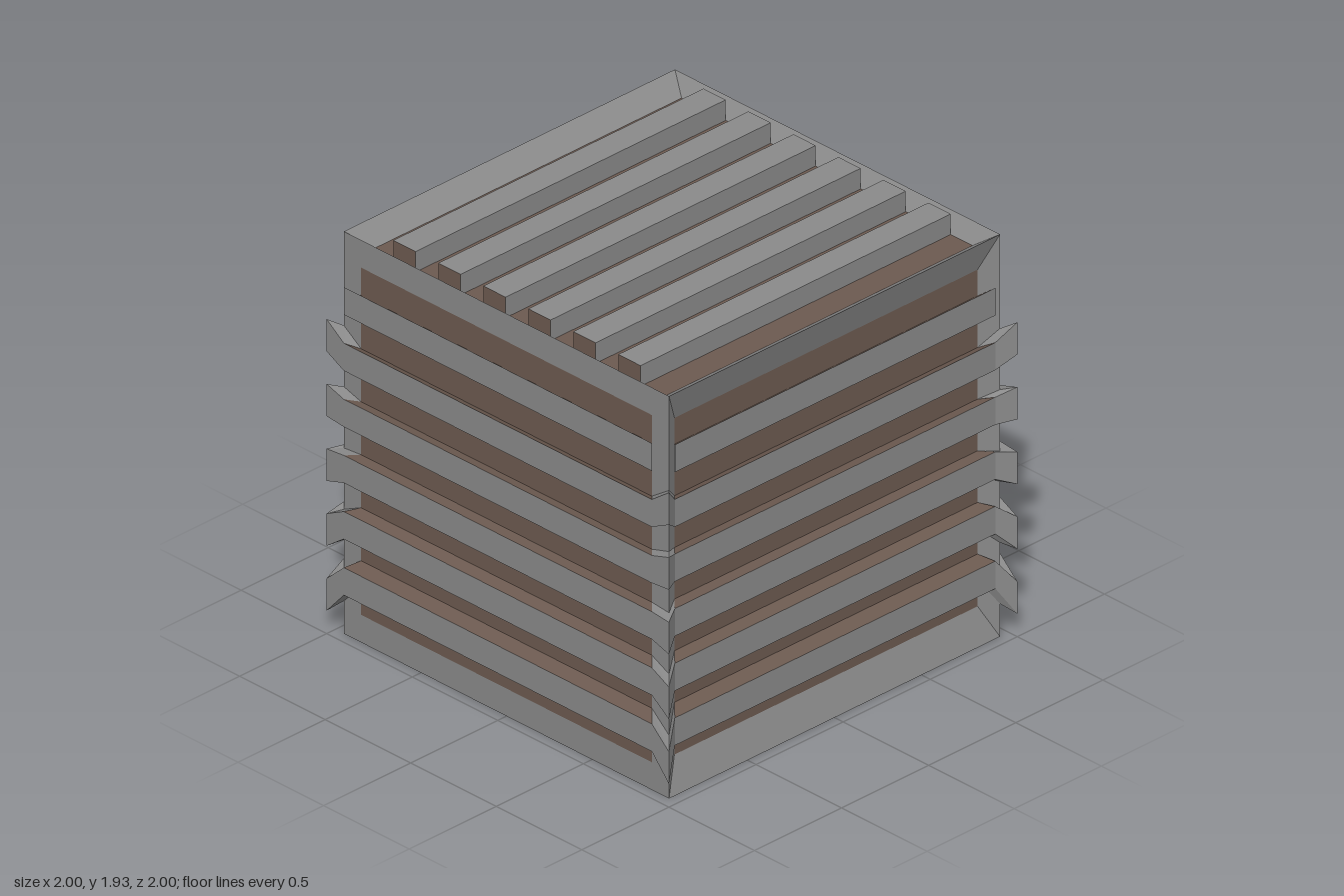
import * as THREE from 'three';

const grey = new THREE.MeshStandardMaterial({ color: 0x8a8a8a, flatShading: true });
const brown = new THREE.MeshStandardMaterial({ color: 0x6c5a50, flatShading: true });

// Flat-shaded mesh from a list of four-cornered faces
function quads(name, faces, material) {
  const pos = [];
  for (const [a, b, c, d] of faces) pos.push(...a, ...b, ...c, ...a, ...c, ...d);
  const g = new THREE.BufferGeometry();
  g.setAttribute('position', new THREE.Float32BufferAttribute(pos, 3));
  g.computeVertexNormals();
  const mesh = new THREE.Mesh(g, material);
  mesh.name = name;
  return mesh;
}

// Counter-clockwise rectangle facing +z
const rect = (hx, y0, y1, z) => [[-hx, y0, z], [hx, y0, z], [hx, y1, z], [-hx, y1, z]];

// Faces joining one ring of four corners to the next: bottom, right, top, left for rectangles
const join = (a, b) => a.map((p, k) => [p, a[(k + 1) % 4], b[(k + 1) % 4], b[k]]);

// Frame and sunken panel of one side of the crate
function crateSide(name, insetX, insetY, depth, panelMaterial) {
  const side = new THREE.Group();
  side.name = name;
  const outer = rect(0.95, -0.95, 0.95, 0.95);
  const inner = rect(0.95 - insetX, -0.95 + insetY, 0.95 - insetY, 0.95 - depth);
  side.add(quads('frame', join(outer, inner), grey));
  side.add(quads('panel', [inner], panelMaterial));
  return side;
}

// Slat narrowing toward the panel by the factor taper, with its own materials for long edges and ends
function slat(y, halfHeight, hx, zBack, zFront, taper, edgeMaterial, endMaterial) {
  const g = new THREE.Group();
  g.name = 'slat';
  const front = rect(hx, y - halfHeight, y + halfHeight, zFront);
  const back = rect(hx * taper, (y - halfHeight) * taper, (y + halfHeight) * taper, zBack);
  const [bottom, right, top, left] = join(back, front);
  g.add(quads('slatFace', [front], grey));
  g.add(quads('slatEdges', [bottom, top], edgeMaterial));
  g.add(quads('slatEnds', [right, left], endMaterial));
  return g;
}

const ROWS = [2.5, 1.5, 0.5, -0.5, -1.5, -2.5];
const HALF = 0.065;
const TAPER = 0.945;

// Cross-section of a corner bracket: outer top, outer bottom, inner bottom, inner top
function section(outer, inner, y, h, taper) {
  return [
    [outer[0], y + h, outer[1]], [outer[0], y - h, outer[1]],
    [inner[0], (y - h) * taper, inner[1]], [inner[0], (y + h) * taper, inner[1]],
  ];
}

// Bent bracket joining the slats of two sides around a corner
function cornerBracket(row, sx, sz) {
  const s = [
    section([0.92, 0.953], [0.87, 0.9], row * 0.258, HALF, TAPER),
    section([1, 1], [0.945, 0.945], row * 0.306, 0.076, 0.94),
    section([1, 0.9], [0.95, 0.85], row * 0.265, HALF, TAPER),
  ].map(ring => ring.map(([x, y, z]) => [x * sx, y, z * sz]));
  if (sx * sz < 0) s.reverse();
  return quads('cornerBracket', [...join(s[0], s[1]), ...join(s[1], s[2])], grey);
}

export function createModel() {
  const model = new THREE.Group();
  model.name = 'slattedCrate';
  const crate = new THREE.Group();
  crate.name = 'crate';
  crate.position.y = 0.95;
  model.add(crate);

  // Front and back: sunken panels with slats
  for (const [name, angle] of [['front', 0], ['back', Math.PI]]) {
    const side = crateSide(name, 0.08, 0.155, 0.05, brown);
    for (const r of ROWS) side.add(slat(r * 0.258, HALF, 0.92, 0.9, 0.953, TAPER, brown, grey));
    side.rotation.y = angle;
    crate.add(side);
  }

  // Left and right: flush panels with slats
  for (const [name, angle] of [['left', Math.PI / 2], ['right', -Math.PI / 2]]) {
    const side = crateSide(name, 0.1, 0.13, 0, brown);
    for (const r of ROWS) side.add(slat(r * 0.265, HALF, 0.9, 0.95, 1, TAPER, brown, grey));
    side.rotation.y = angle;
    crate.add(side);
  }

  // Lid with straight slats
  const lid = crateSide('lid', 0.06, 0.1, 0.07, brown);
  for (const r of ROWS) lid.add(slat(r * 0.263, 0.065, 0.89, 0.88, 0.977, 1, grey, brown));
  lid.rotation.x = -Math.PI / 2;
  crate.add(lid);

  // Shallow hollow in the base
  const base = crateSide('base', 0.06, 0.25, 0.065, grey);
  base.rotation.x = Math.PI / 2;
  crate.add(base);

  // Corner brackets on every row but the top one
  for (const sx of [1, -1]) for (const sz of [1, -1]) {
    for (const r of ROWS.slice(1)) crate.add(cornerBracket(r, sx, sz));
  }
  return model;
}
